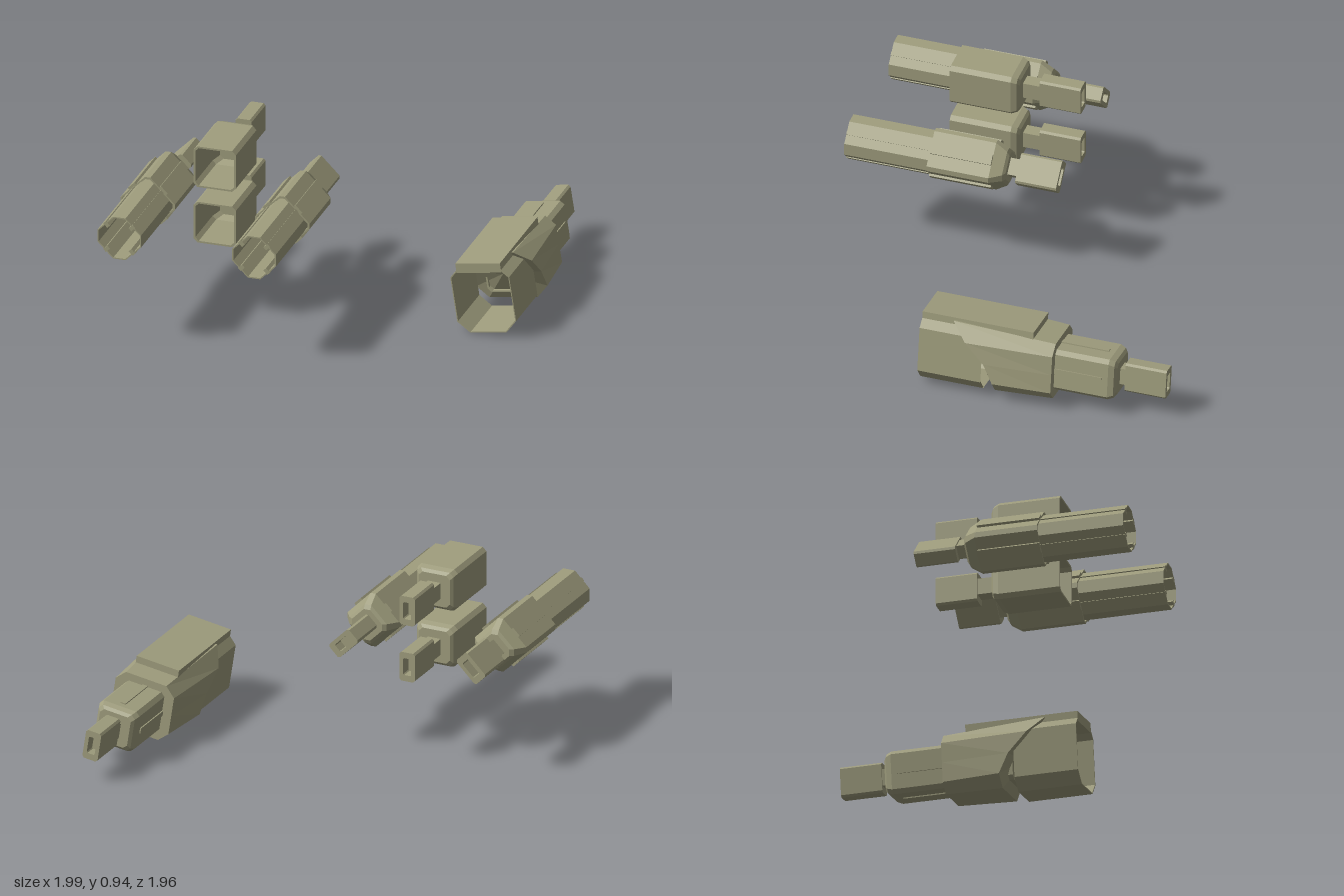
import * as THREE from 'three';

const olive = new THREE.MeshStandardMaterial({ color: 0xa09e7e, side: THREE.DoubleSide });
olive.name = 'olive';

// Chamfered rectangle at depth z, counter-clockwise seen from +z
function section(w, h, c, z) {
  return [[w, c - h], [w, h - c], [w - c, h], [c - w, h], [-w, h - c], [-w, c - h], [c - w, -h], [w - c, -h]]
    .map(([x, y]) => new THREE.Vector3(x, y, z));
}

// Flat-faced skin through a list of sections, with optional end caps
function loft(name, sections, capStart, capEnd) {
  const pos = [];
  const tri = (...pts) => pts.forEach((p) => pos.push(p.x, p.y, p.z));
  const cap = (ring, flip) => {
    const mid = ring.reduce((m, p) => m.add(p), new THREE.Vector3()).divideScalar(ring.length);
    ring.forEach((p, i) => {
      const q = ring[(i + 1) % ring.length];
      if (flip) tri(mid, q, p);
      else tri(mid, p, q);
    });
  };
  for (let s = 0; s < sections.length - 1; s++) {
    const a = sections[s], b = sections[s + 1];
    a.forEach((p, i) => {
      const j = (i + 1) % a.length;
      tri(p, a[j], b[j]);
      tri(p, b[j], b[i]);
    });
  }
  if (capStart) cap(sections[0], true);
  if (capEnd) cap(sections[sections.length - 1], false);
  const geo = new THREE.BufferGeometry();
  geo.setAttribute('position', new THREE.Float32BufferAttribute(pos, 3));
  geo.computeVertexNormals();
  return named(name, geo);
}

function named(name, geo) {
  const mesh = new THREE.Mesh(geo, olive);
  mesh.name = name;
  return mesh;
}

function box(name, w, h, z0, z1, x = 0, y = 0) {
  const mesh = named(name, new THREE.BoxGeometry(w, h, z1 - z0));
  mesh.position.set(x, y, (z0 + z1) / 2);
  return mesh;
}

// Rails centred on all four flats of a housing
function rails(pod, name, width, top, z0, z1) {
  for (let i = 0; i < 4; i++) {
    const holder = new THREE.Group();
    holder.name = name;
    holder.rotation.z = i * Math.PI / 2;
    holder.add(box(name, 0.03, width, z0, z1, top - 0.015, 0));
    pod.add(holder);
  }
}

// Plug, neck and hollow housing; local z = 0 is the tip of the plug
function makePod(name, [x, y, z], roll, back, front, rear) {
  const pod = new THREE.Group();
  pod.name = name;
  pod.position.set(x, y, z);
  pod.rotation.z = roll;

  // Plug with a recessed socket in its end
  pod.add(loft('plug', [
    section(0.022, 0.045, 0.005, 0.06), section(0.022, 0.045, 0.005, 0),
    section(0.042, 0.077, 0.01, 0), section(0.042, 0.077, 0.01, 0.212),
  ], true, true));
  pod.add(box('neck', 0.07, 0.085, 0.2, back + 0.03));

  // Housing: rounded rear, outer walls, front rim, inner walls, inner back wall
  pod.add(loft('housing', [
    ...rear.map(([h, c, dz]) => section(h, h, c, back + dz)),
    section(0.11, 0.11, 0.02, front), section(0.101, 0.101, 0.018, front),
    section(0.101, 0.101, 0.018, back + 0.09), section(0.075, 0.085, 0.018, back + 0.05),
  ], true, true));

  // Stepped round boss inside
  [[0.065, 0.06], [0.053, 0.07]].forEach(([r, dz]) => {
    const boss = named('innerBoss', new THREE.CylinderGeometry(r, r, 0.02, 20));
    boss.rotation.x = Math.PI / 2;
    boss.position.z = back + dz - 0.01;
    pod.add(boss);
  });
  return pod;
}

const roundRear = [[0.085, 0.02, 0], [0.1, 0.02, 0.012], [0.11, 0.02, 0.04]];
const taperRear = [[0.07, 0.025, 0], [0.085, 0.025, 0.012], [0.11, 0.02, 0.07]];

export function createModel() {
  const model = new THREE.Group();
  model.name = 'connectorSet';

  // Two short upright pods, one above the other
  [['upperPod', 0.83], ['lowerPod', 0.53]].forEach(([name, y]) => {
    model.add(makePod(name, [-0.51, y, -0.11], 0, 0.3, 0.655, roundRear));
  });

  // Two long pods turned on their corners, with open barrels
  [['rightLongPod', -0.86, -1], ['leftLongPod', -0.16, 1]].forEach(([name, x, side]) => {
    const pod = makePod(name, [x, 0.59, -0.11], side * Math.PI / 4, 0.26, 0.65, taperRear);
    pod.add(loft('barrel', [
      section(0.103, 0.103, 0.046, 0.6), section(0.103, 0.103, 0.046, 1.085),
      section(0.097, 0.097, 0.043, 1.085), section(0.097, 0.097, 0.043, 0.6),
    ]));
    rails(pod, 'housingRail', 0.05, 0.122, 0.33, 0.65);
    rails(pod, 'barrelRail', 0.02, 0.108, 0.65, 1.085);
    model.add(pod);
  });

  // Large shrouded pod, rolled slightly
  const big = makePod('shroudedPod', [0.79, 0.195, -0.98], 0.155, 0.24, 0.9, roundRear);
  rails(big, 'housingRail', 0.028, 0.116, 0.31, 0.56);

  // Open front shroud
  big.add(loft('shroud', [
    section(0.155, 0.178, 0.06, 0.92), section(0.155, 0.178, 0.06, 1.245),
    section(0.15, 0.173, 0.058, 1.245), section(0.15, 0.173, 0.058, 0.92),
  ]));

  // Flared cowl whose front edge slopes back from the top to the sides
  const rearRing = section(0.162, 0.15, 0.05, 0.555);
  const frontRing = section(0.187, 0.178, 0.06, 0);
  frontRing.forEach((p) => {
    if (p.y > 0.15) p.z = 1.08;
    else if (p.y > 0) { p.y = 0.1; p.z = 1.0; }
    else {
      p.z = 0.85;
      p.y += 0.02;
    }
  });
  // Extra corners where the slope meets the upright lower edge
  const withBreaks = (ring, z) => {
    const out = ring.slice();
    const mid = (x) => new THREE.Vector3(x, 0, z);
    out.splice(5, 0, mid(ring[4].x));
    out.splice(1, 0, mid(ring[0].x));
    return out;
  };
  big.add(loft('cowl', [withBreaks(rearRing, 0.555), withBreaks(frontRing, 0.9)], true, true));

  // Raised plate along the top
  big.add(box('topPlate', 0.235, 0.05, 0.67, 1.245, 0, 0.167));
  model.add(big);

  return model;
}
